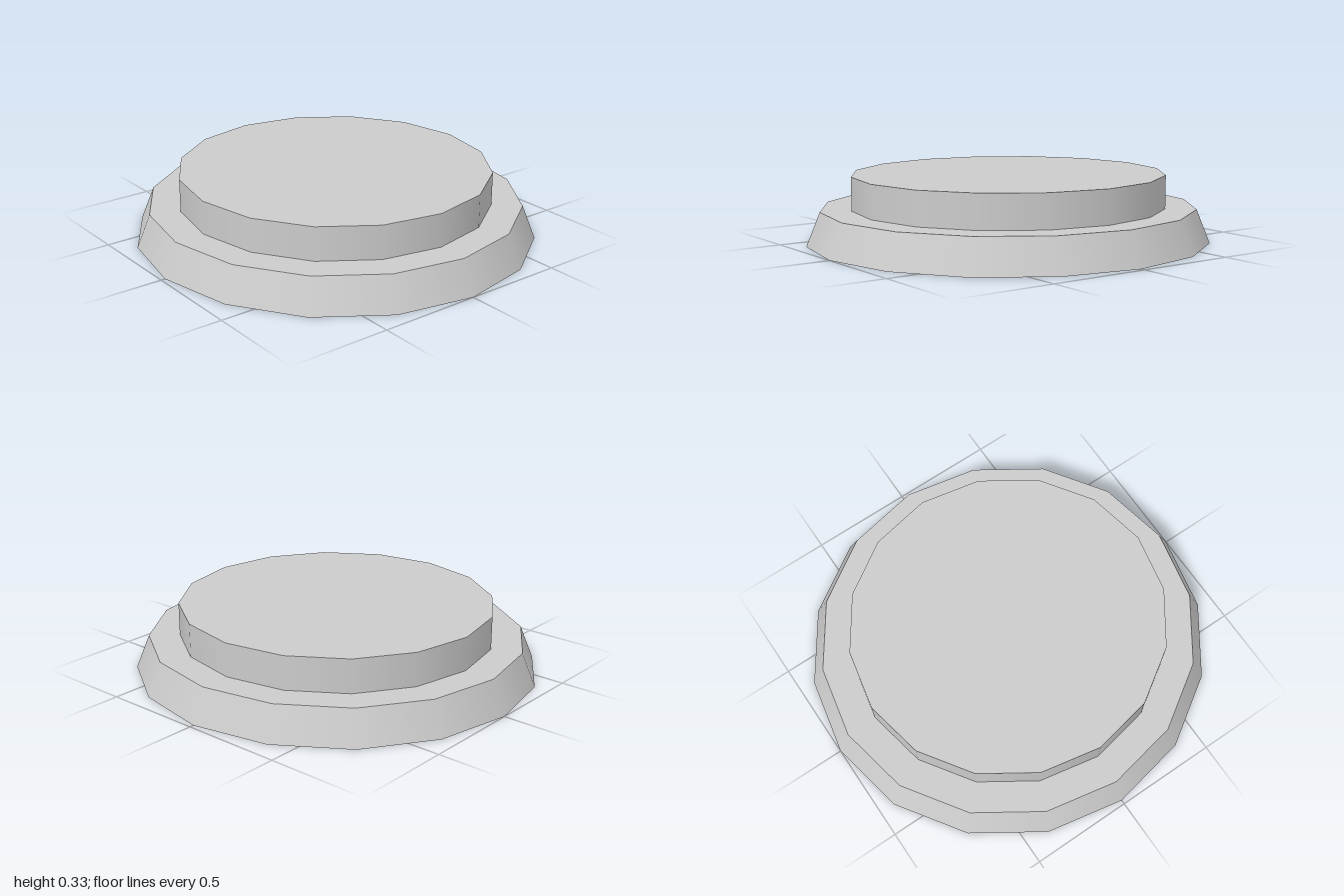
import * as THREE from 'three';

const SIDES = 16;
const DEPTH_SCALE = 0.98; // slightly oval footprint

export function createModel() {
  const group = new THREE.Group();
  group.name = 'steppedPedestal';
  const material = new THREE.MeshStandardMaterial({ color: 0xcccccc });

  // One round tier with smooth sides and flat caps
  function addTier(name, topRadius, bottomRadius, bottom, top) {
    const geometry = new THREE.CylinderGeometry(topRadius, bottomRadius, top - bottom, SIDES);
    geometry.scale(1, 1, DEPTH_SCALE);
    geometry.translate(0, (bottom + top) / 2, 0);
    const mesh = new THREE.Mesh(geometry, material);
    mesh.name = name;
    group.add(mesh);
  }

  // Tapered foot, then the straight raised disc
  addTier('taperedBase', 0.933, 1, 0, 0.165);
  addTier('raisedDisc', 0.78, 0.78, 0.165, 0.33);

  return group;
}
